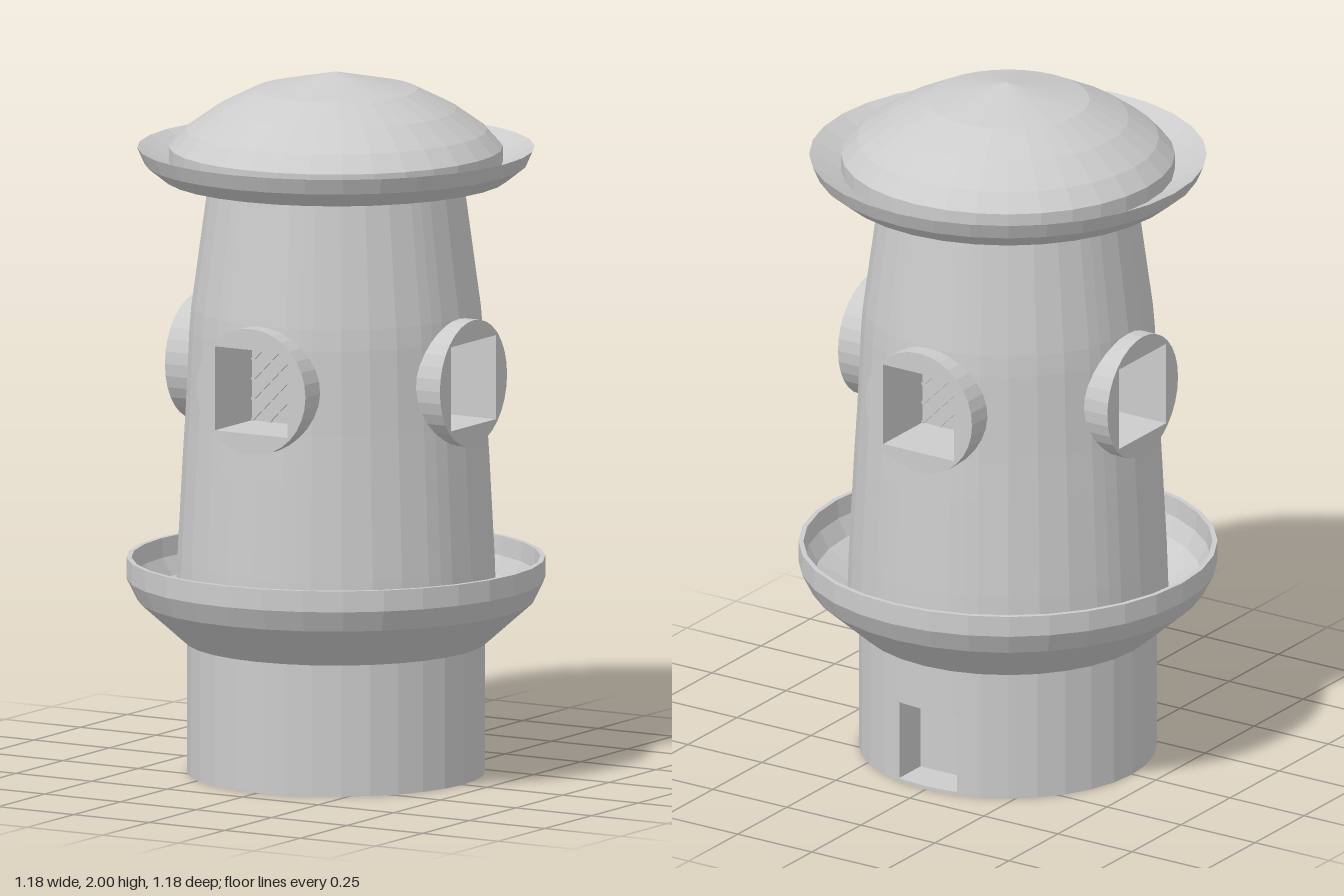
import * as THREE from 'three';

const SIDES = 32;
const rad = THREE.MathUtils.degToRad;
const mat = new THREE.MeshStandardMaterial({ color: 0xcccccc, flatShading: true });

function add(parent, name, geometry, y = 0, z = 0) {
  const mesh = new THREE.Mesh(geometry, mat);
  mesh.name = name;
  mesh.position.set(0, y, z);
  parent.add(mesh);
  return mesh;
}

function lathe(profile) {
  return new THREE.LatheGeometry(profile.map(([r, y]) => new THREE.Vector2(r, y)), SIDES);
}

// Tapered wall made of four quarters, each with an opening for a port
function towerWall(rows, low, high) {
  const angles = [-45, -33.75, -22.5, -17, -11.25, 0, 11.25, 17, 22.5, 33.75, 45];
  const pos = [];
  const point = (deg, [r, y]) => [r * Math.sin(rad(deg)), y, r * Math.cos(rad(deg))];
  for (let quarter = 0; quarter < 360; quarter += 90) {
    for (let j = 0; j < rows.length - 1; j++) {
      for (let i = 0; i < angles.length - 1; i++) {
        const open = Math.abs(angles[i] + angles[i + 1]) / 2 < 17 && rows[j][1] >= low && rows[j + 1][1] <= high;
        if (open) continue;
        const a = point(quarter + angles[i], rows[j]);
        const b = point(quarter + angles[i + 1], rows[j]);
        const c = point(quarter + angles[i + 1], rows[j + 1]);
        const d = point(quarter + angles[i], rows[j + 1]);
        pos.push(...a, ...b, ...c, ...a, ...c, ...d);
      }
    }
  }
  const geo = new THREE.BufferGeometry();
  geo.setAttribute('position', new THREE.Float32BufferAttribute(pos, 3));
  geo.computeVertexNormals();
  return geo;
}

// Plan of the base with a rectangular notch cut into the back
function notchedPlan(radius, halfWidth, depth) {
  const edge = Math.sqrt(radius * radius - halfWidth * halfWidth) - 0.002;
  const pts = [new THREE.Vector2(-halfWidth, edge)];
  for (let i = 2; i <= SIDES - 2; i++) {
    const a = Math.PI / 2 + (i / SIDES) * Math.PI * 2;
    pts.push(new THREE.Vector2(radius * Math.cos(a), radius * Math.sin(a)));
  }
  pts.push(
    new THREE.Vector2(halfWidth, edge),
    new THREE.Vector2(halfWidth, radius - depth),
    new THREE.Vector2(-halfWidth, radius - depth)
  );
  return new THREE.Shape(pts);
}

// Round port with a square recess and a diagonal grille at its back
function makePort() {
  const port = new THREE.Group();
  const back = 0.25, front = 0.455, half = 0.12;
  const shape = new THREE.Shape().absarc(0, 0, 0.18, 0, Math.PI * 2, false);
  shape.holes.push(new THREE.Path([
    new THREE.Vector2(-half, -half), new THREE.Vector2(-half, half),
    new THREE.Vector2(half, half), new THREE.Vector2(half, -half)
  ]));
  const ring = new THREE.ExtrudeGeometry(shape, { depth: front - back, bevelEnabled: false, curveSegments: 16 });
  add(port, 'portRing', ring, 0, back);
  add(port, 'portBackPlate', new THREE.BoxGeometry(2 * half, 2 * half, 0.01), 0, back);
  for (const tilt of [-1, 1]) {
    for (let k = -3; k <= 3; k++) {
      const offset = k * 0.04;
      const length = 2 * (half * Math.SQRT2 - Math.abs(offset)) - 0.008;
      const bar = new THREE.BoxGeometry(length, 0.008, 0.008);
      bar.translate(0, offset, 0).rotateZ(tilt * Math.PI / 4);
      add(port, 'grilleBar', bar, 0, back + 0.008);
    }
  }
  return port;
}

export function createModel() {
  const model = new THREE.Group();
  model.name = 'portedTower';

  // Base: floor disc, notched ring, solid top
  add(model, 'baseFloor', new THREE.CylinderGeometry(0.42, 0.42, 0.01, SIDES), 0.005);
  const notched = new THREE.ExtrudeGeometry(notchedPlan(0.42, 0.097, 0.12), { depth: 0.23, bevelEnabled: false });
  notched.rotateX(-Math.PI / 2);
  add(model, 'notchedBase', notched, 0.01);
  add(model, 'baseTop', new THREE.CylinderGeometry(0.42, 0.42, 0.16, SIDES), 0.32);

  // Open tray around the foot of the tower
  add(model, 'tray', lathe([
    [0.41, 0.375], [0.425, 0.375], [0.56, 0.495], [0.59, 0.555], [0.59, 0.615],
    [0.576, 0.615], [0.572, 0.56], [0.545, 0.51], [0.44, 0.45]
  ]));

  // Tower wall
  add(model, 'towerWall', towerWall(
    [[0.453, 0.44], [0.447, 0.615], [0.432, 0.9], [0.424, 1.03], [0.413, 1.27], [0.408, 1.33], [0.358, 1.7]],
    1.03, 1.27
  ));

  // Four ports
  for (let i = 0; i < 4; i++) {
    const port = makePort();
    port.name = ['frontPort', 'leftPort', 'backPort', 'rightPort'][i];
    port.position.y = 1.15;
    port.rotation.y = i * Math.PI / 2;
    model.add(port);
  }

  // Roof: upturned brim with a shallow dome
  add(model, 'roofBrim', lathe([
    [0, 1.68], [0.385, 1.68], [0.485, 1.697], [0.54, 1.74], [0.56, 1.785],
    [0.52, 1.765], [0.46, 1.735]
  ]));
  add(model, 'roofDome', lathe([
    [0.47, 1.735], [0.47, 1.785], [0.425, 1.835], [0.34, 1.895], [0.23, 1.95], [0, 2]
  ]));

  return model;
}
